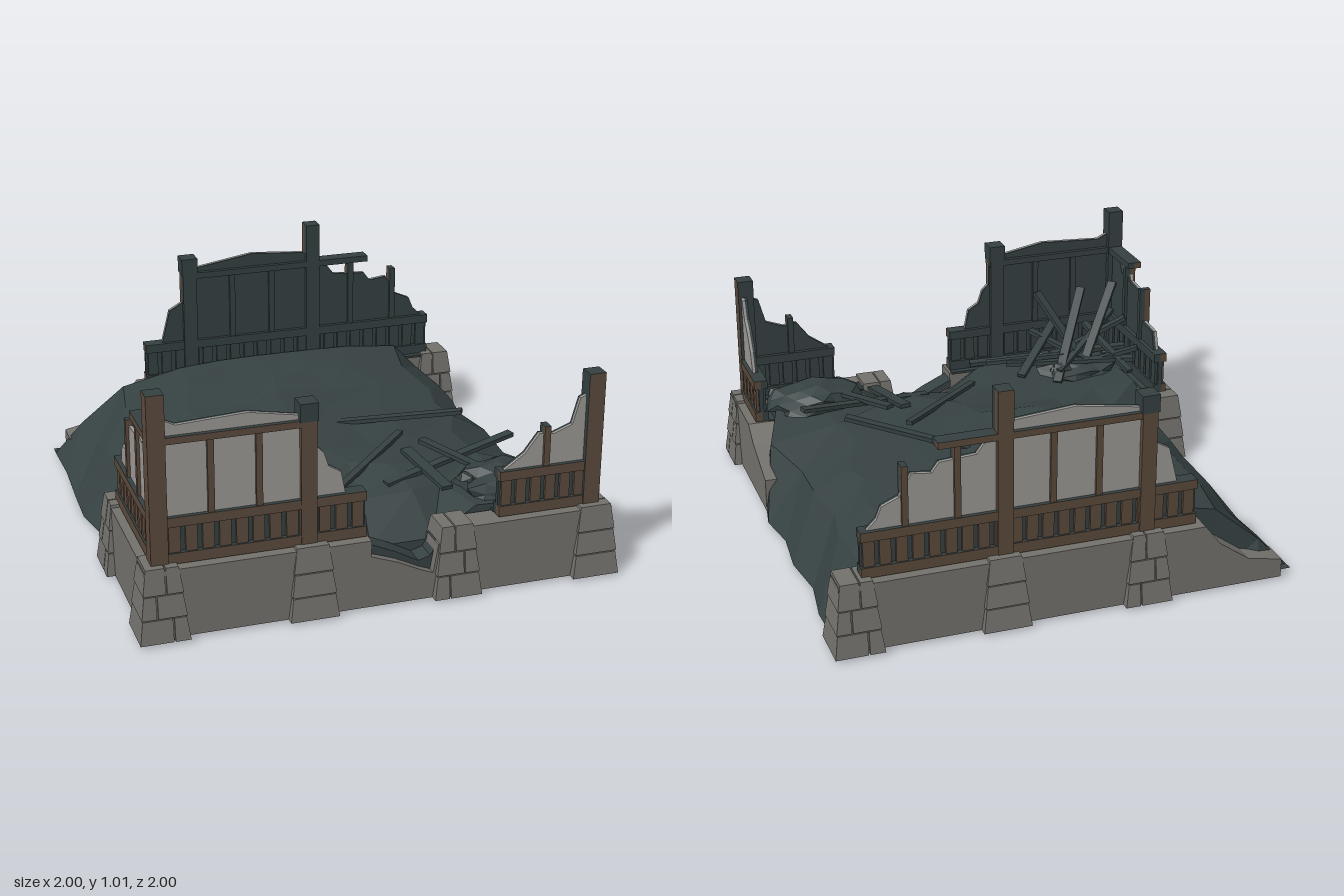
import * as THREE from 'three';

const mat = (name, color, side = THREE.FrontSide) => {
  const m = new THREE.MeshStandardMaterial({ color, side });
  m.name = name;
  return m;
};

// small repeatable noise in -1..1
const noise = (a, b, c = 0) => {
  const s = Math.sin(a * 127.1 + b * 311.7 + c * 74.7) * 43758.5453;
  return (s - Math.floor(s)) * 2 - 1;
};

export function createModel() {
  const root = new THREE.Group();
  root.name = 'ruinedHouse';
  const stone = mat('stone', 0x73716c);
  const plaster = mat('plaster', 0x9b9894);
  const wood = mat('wood', 0x5b4a3c);
  const dark = mat('charredInside', 0x354041);
  const earth = mat('earth', 0x364142, THREE.DoubleSide);

  const add = (parent, name, geo, material) => {
    const m = new THREE.Mesh(geo, material);
    m.name = name;
    parent.add(m);
    return m;
  };
  const flat = (geo) => {
    const g = geo.index ? geo.toNonIndexed() : geo;
    g.computeVertexNormals();
    return g;
  };
  const box = (parent, name, x0, x1, y0, y1, z0, z1, material) => {
    const m = add(parent, name, new THREE.BoxGeometry(x1 - x0, y1 - y0, z1 - z0), material);
    m.position.set((x0 + x1) / 2, (y0 + y1) / 2, (z0 + z1) / 2);
    return m;
  };
  const extrude = (parent, name, points, z0, z1, material) => {
    const shape = new THREE.Shape(points.map(([x, y]) => new THREE.Vector2(x, y)));
    const m = add(parent, name, new THREE.ExtrudeGeometry(shape, { depth: z1 - z0, bevelEnabled: false }), material);
    m.position.z = z0;
    return m;
  };

  // timber with a clean outer half and a charred inner half and top
  const timber = (parent, name, x0, x1, y0, y1, d) => {
    box(parent, name, x0, x1, y0, y1, 0, d, [wood, wood, dark, wood, wood, dark]);
    box(parent, name + 'Inside', x0, x1, y0, y1, -d, 0, dark);
  };

  // one wall: local +z faces outward, z = 0 is the wall's middle plane
  const buildWall = (name, angle, w) => {
    const g = new THREE.Group();
    g.name = name;
    g.rotation.y = angle;
    g.position.set(Math.sin(angle) * 0.9, 0, Math.cos(angle) * 0.9);
    root.add(g);
    extrude(g, 'stoneBase', w.base, -0.05, 0.065, stone);
    for (const p of w.plaster) {
      extrude(g, 'plasterPanel', p, 0, 0.012, plaster);
      extrude(g, 'plasterInside', p, -0.012, 0, dark);
    }
    for (const [a, b] of w.fences) {
      box(g, 'ashLedge', a, b, 0.305, 0.316, -0.058, -0.03, dark);
      box(g, 'fenceCore', a, b, 0.33, 0.49, -0.01, 0.01, dark);
      timber(g, 'bottomRail', a, b, 0.315, 0.36, 0.03);
      timber(g, 'topRail', a, b, 0.47, 0.51, 0.03);
      const n = Math.max(2, Math.round((b - a) / 0.066));
      const step = (b - a) / n;
      for (let i = 0; i < n; i++) {
        const x = a + i * step;
        timber(g, 'fenceBoard', x + 0.01, x + step - 0.01, 0.35, 0.48, 0.022);
      }
    }
    for (const [a, b] of w.beams) timber(g, 'beam', a, b, 0.812, 0.84, 0.032);
    for (const [x, top] of w.studs) timber(g, 'stud', x - 0.013, x + 0.013, 0.5, top, 0.025);
    for (const [x, top, cap] of w.posts) {
      timber(g, 'post', x - 0.032, x + 0.032, 0.31, top, 0.035);
      if (cap) box(g, 'postCap', x - 0.037, x + 0.037, top - 0.07, top + 0.005, -0.038, 0.038, dark);
    }
  };

  buildWall('frontWall', 0, {
    base: [[-0.97, 0.02], [0.97, 0.02], [0.97, 0.31], [0.29, 0.31], [0.22, 0.25], [0.2, 0.13], [0.15, 0.15],
      [0.05, 0.2], [-0.06, 0.24], [-0.06, 0.31], [-0.97, 0.31]],
    plaster: [
      [[-0.88, 0.5], [-0.15, 0.5], [-0.17, 0.6], [-0.22, 0.63], [-0.24, 0.69], [-0.27, 0.72], [-0.27, 0.85],
        [-0.35, 0.86], [-0.54, 0.895], [-0.82, 0.88], [-0.88, 0.91]],
      [[0.5, 0.5], [0.88, 0.5], [0.88, 0.8], [0.83, 0.78], [0.8, 0.67], [0.72, 0.64], [0.66, 0.65], [0.6, 0.57]]],
    fences: [[-0.87, -0.07], [0.49, 0.87]],
    beams: [[-0.87, -0.27]],
    studs: [[-0.69, 0.82], [-0.5, 0.82], [0.69, 0.68]],
    posts: [[-0.305, 0.905, true]],
  });
  buildWall('backWall', Math.PI, {
    base: [[-0.97, 0.02], [0.9, 0.02], [0.9, 0.1], [0.75, 0.13], [0.62, 0.22], [0.55, 0.31], [-0.97, 0.31]],
    plaster: [[[-0.85, 0.5], [0.44, 0.5], [0.4, 0.66], [0.33, 0.7], [0.3, 0.85], [0.25, 0.86], [0, 0.9],
      [-0.25, 0.88], [-0.3, 0.83], [-0.37, 0.8], [-0.4, 0.76], [-0.55, 0.75], [-0.58, 0.71], [-0.66, 0.72],
      [-0.71, 0.63], [-0.78, 0.6], [-0.8, 0.55]]],
    fences: [[-0.87, 0.52]],
    beams: [[-0.56, 0.3]],
    studs: [[0.1, 0.82], [-0.09, 0.82], [-0.48, 0.82], [-0.69, 0.76]],
    posts: [[-0.29, 1.015, false], [0.305, 0.905, true]],
  });
  buildWall('rightSideWall', -Math.PI / 2, {
    base: [[0.25, 0.02], [0.86, 0.02], [0.86, 0.31], [0.25, 0.31]],
    plaster: [[[0.35, 0.5], [0.88, 0.5], [0.88, 0.82], [0.78, 0.8], [0.75, 0.75], [0.68, 0.77], [0.66, 0.74],
      [0.52, 0.73], [0.5, 0.6], [0.38, 0.59]]],
    fences: [[0.3, 0.87]],
    beams: [[0.63, 0.87]],
    studs: [[0.51, 0.755], [0.69, 0.82]],
    posts: [],
  });
  buildWall('leftSideWall', Math.PI / 2, {
    base: [[-0.86, 0.02], [-0.3, 0.02], [-0.3, 0.17], [-0.52, 0.25], [-0.6, 0.31], [-0.86, 0.31]],
    plaster: [[[-0.88, 0.5], [-0.7, 0.5], [-0.73, 0.6], [-0.78, 0.68], [-0.82, 0.72], [-0.85, 0.8], [-0.88, 0.82]]],
    fences: [[-0.87, -0.6]],
    beams: [],
    studs: [],
    posts: [],
  });

  // earth spilling over the breach in the front wall
  extrude(root, 'earthSpill', [[-0.06, 0.24], [0.05, 0.2], [0.15, 0.15], [0.2, 0.13], [0.22, 0.25], [0.25, 0.277],
    [0.2, 0.19], [0.15, 0.175], [0.05, 0.23], [-0.06, 0.28]], 0.84, 0.93, earth);

  // front corner posts, charred on the two inner faces
  box(root, 'cornerPost', -0.935, -0.865, 0.31, 1.015, 0.865, 0.935, [dark, wood, dark, wood, wood, dark]);
  box(root, 'cornerPost', 0.855, 0.925, 0.31, 0.885, 0.865, 0.935, [wood, dark, dark, wood, wood, dark]);

  // tapered stone piers: three courses of split blocks round a core
  const frustum = (r0, r1, h) => flat(new THREE.CylinderGeometry(r1 * Math.SQRT2, r0 * Math.SQRT2, h, 4, 1).rotateY(Math.PI / 4));
  const courses = [[0.02, 0.115, 0.1, 0.087], [0.121, 0.212, 0.09, 0.077], [0.218, 0.322, 0.08, 0.065]];
  const piers = [[-0.9, 0.9], [-0.3, 0.9], [0.3, 0.9], [0.9, 0.9], [-0.3, -0.9], [0.3, -0.9], [0.9, -0.9], [-0.9, 0.3]];
  piers.forEach(([x, z], k) => {
    const g = new THREE.Group();
    g.name = 'stonePier';
    g.position.set(x, 0, z);
    g.rotation.y = (k % 4) * Math.PI / 2;
    root.add(g);
    add(g, 'pierCore', frustum(0.088, 0.06, 0.29), stone).position.y = 0.167;
    courses.forEach(([y0, y1, r0, r1], i) => {
      const split = [0.35, -0.3, 0.15][i];
      for (const s of [-1, 1]) {
        const geo = frustum(r0, r1, y1 - y0);
        const p = geo.attributes.position;
        for (let v = 0; v < p.count; v++) {
          if (Math.sign(p.getX(v)) !== s) p.setX(v, split * r0 + s * 0.003);
        }
        add(g, 'pierStone', flat(geo), stone).position.y = (y0 + y1) / 2;
      }
    });
  });

  // heap of earth filling the house, a hollow shell with skirted edges
  const N = 10;
  const along = [0, 0.2, 0.42, 0.64, 0.82, 0.965];
  const rightSide = [0.385, 0.385, 0.375, 0.35, 0.25, 0.02];
  const leftSide = [0.385, 0.38, 0.365, 0.33, 0.2, 0.02];
  const backZ = [0, 0.2, 0.42, 0.64, 0.862, 0.87];
  const frontZ = [0, 0.2, 0.42, 0.64, 0.838, 0.845];
  const mound = new THREE.PlaneGeometry(2, 2, N, N).rotateX(-Math.PI / 2);
  const mp = mound.attributes.position;
  for (let i = 0; i < mp.count; i++) {
    const c = (i % (N + 1)) - N / 2, r = Math.floor(i / (N + 1)) - N / 2;
    const a = Math.abs(c), b = Math.abs(r);
    const edge = a === N / 2 || b === N / 2;
    let x = Math.sign(c) * along[a], z = r < 0 ? -backZ[b] : frontZ[b];
    const walled = z > (c < 0 ? 0.22 : 0.5);
    let y = walled ? 0.35 : (c < 0 ? leftSide : rightSide)[a];
    if (z > 0.5) y = 0.335;
    if (z < -0.5 && a < 4) y += 0.02;
    if (z < -0.5 && c < -2) y -= 0.03;
    if (r === 4 && Math.abs(x - 0.1) < 0.2) y = 0.21;
    if (walled) x = THREE.MathUtils.clamp(x, -0.845, 0.845);
    if (!edge) {
      x += noise(c, r, 1) * 0.06 * (a > 3 ? 0.4 : 1);
      if (b < 4) z += noise(c, r, 2) * 0.06;
      y += noise(c, r, 3) * (b < 4 ? 0.016 : 0.008);
    } else {
      y = 0.02 + noise(c, r, 4) * 0.012;
      if (!walled && b < 4) x += noise(c, r, 5) * 0.03;
    }
    // the heap laps over the two broken ends of the stone base
    if (r === 2 && c === 4) { x = 0.9; y = 0.27; }
    if (r === 2 && c === 5) { x = 0.945; y = 0.04; }
    if (r < -3 && c < -3) z = r === -5 ? -0.925 : -0.88;
    mp.setXYZ(i, x, y, z);
  }
  add(root, 'earthMound', flat(mound), earth);

  // lumpy rubble heaps in the two front corners, flat underneath
  const heap = (x, y, z, sx, sy, sz, detail, seed) => {
    const geo = new THREE.IcosahedronGeometry(1, detail);
    const p = geo.attributes.position;
    for (let i = 0; i < p.count; i++) {
      const px = p.getX(i), py = p.getY(i), pz = p.getZ(i);
      const k = 1 + 0.16 * noise(Math.round(px * 50), Math.round(py * 50), Math.round(pz * 50) + seed);
      p.setXYZ(i, px * k * sx, Math.max(py, 0) * k * sy, pz * k * sz);
    }
    add(root, 'rubble', flat(geo), dark).position.set(x, y, z);
  };
  heap(0.63, 0.335, 0.69, 0.22, 0.1, 0.15, 2, 1);
  heap(-0.64, 0.335, 0.66, 0.2, 0.07, 0.16, 2, 2);
  for (let i = 0; i < 14; i++) {
    const s = 0.03 + 0.012 * noise(i, 7);
    const cx = i % 2 ? 0.62 : -0.62;
    heap(cx + 0.2 * noise(i, 1), 0.375, 0.68 + 0.12 * noise(i, 2), s * 1.4, s, s, 0, i);
  }

  // fallen planks laid between two points
  const plank = (a, b, w = 0.04, t = 0.018) => {
    const from = new THREE.Vector3(...a), to = new THREE.Vector3(...b);
    const m = add(root, 'fallenPlank', new THREE.BoxGeometry(w, t, from.distanceTo(to)), dark);
    m.position.copy(from).lerp(to, 0.5);
    m.lookAt(to);
  };
  plank([0.15, 0.365, -0.07], [0.62, 0.465, 0.2]);
  plank([0.34, 0.4, 0.19], [-0.09, 0.36, 0.6], 0.03);
  plank([0.14, 0.35, 0.57], [0.76, 0.43, 0.41]);
  plank([0.38, 0.42, 0.34], [0.55, 0.39, 0.65]);
  plank([0.3, 0.4, 0.37], [0.36, 0.36, 0.7], 0.05);
  plank([-0.87, 0.68, 0.82], [-0.6, 0.34, 0.55]);
  plank([-0.72, 0.66, 0.85], [-0.48, 0.34, 0.52]);
  plank([-0.5, 0.66, 0.86], [-0.66, 0.35, 0.56]);
  plank([-0.87, 0.56, 0.66], [-0.5, 0.36, 0.75]);
  plank([-0.9, 0.41, 0.68], [-0.15, 0.36, 0.82], 0.045);
  plank([-0.85, 0.42, 0.5], [-0.3, 0.38, 0.72], 0.045);
  plank([-0.6, 0.52, 0.86], [-0.33, 0.36, 0.6]);
  plank([-0.86, 0.55, 0.8], [-0.5, 0.38, 0.55], 0.03);
  plank([-0.8, 0.39, 0.42], [-0.72, 0.5, 0.8], 0.03);
  plank([-0.55, 0.43, 0.62], [-0.22, 0.37, 0.78], 0.03);
  plank([-0.87, 0.47, 0.5], [-0.62, 0.37, 0.62], 0.035);
  plank([-0.46, 0.48, 0.84], [-0.66, 0.4, 0.58], 0.035);
  return root;
}
